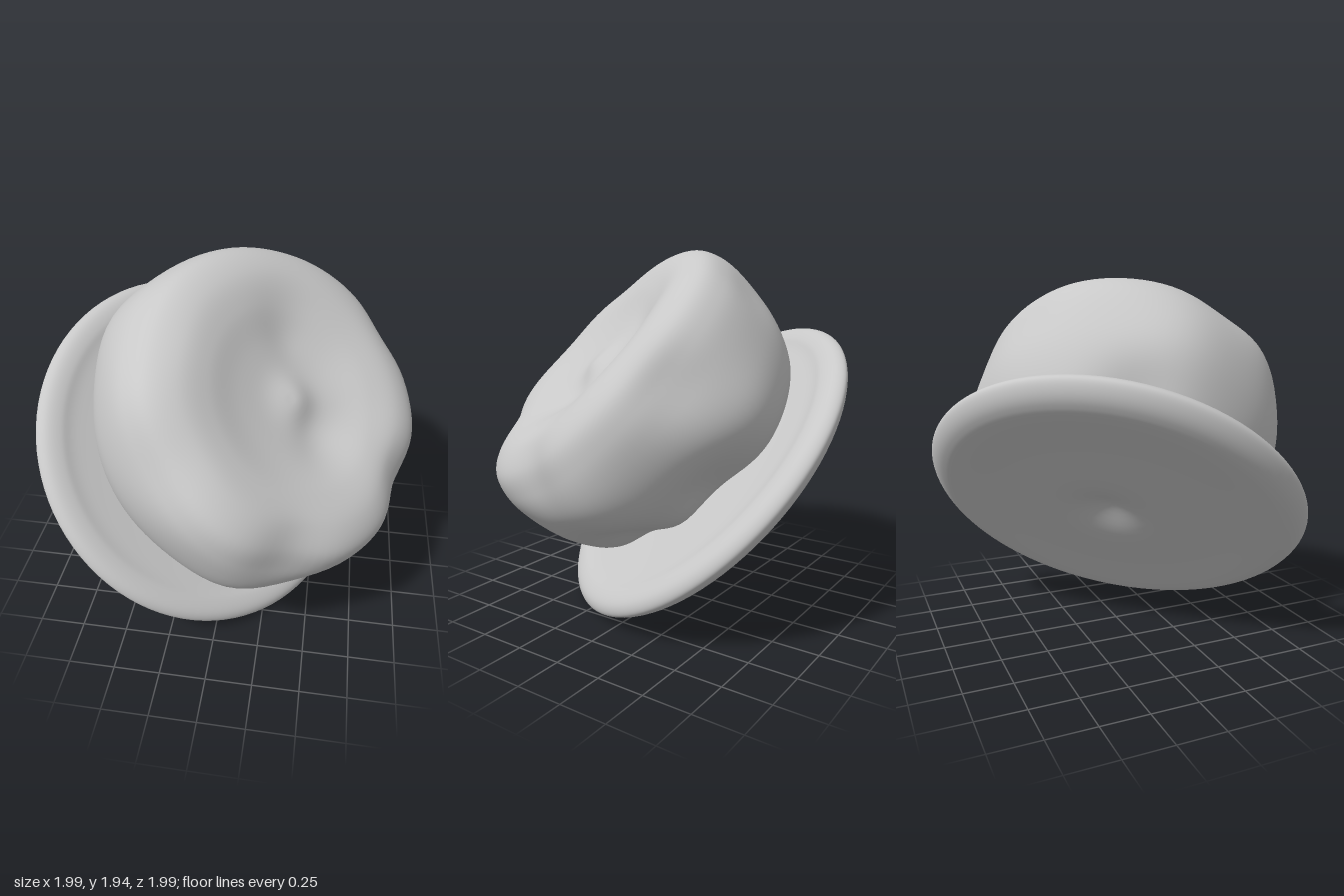
import * as THREE from 'three';
import { mergeVertices } from 'three/addons/utils/BufferGeometryUtils.js';

// Smooth lathe whose vertices are pushed by soft dents (positive) or bumps (negative).
// Each dent: [angle in degrees, radius, height, spread, depth], pushed toward `core`.
function softLathe(profile, samples, dents, core) {
  const curve = new THREE.SplineCurve(profile.map(([r, h]) => new THREE.Vector2(r, h)));
  const points = curve.getPoints(samples);
  points.forEach((p) => { p.x = Math.max(p.x, 0); });
  points[0].x = points[points.length - 1].x = 0;
  let geo = new THREE.LatheGeometry(points, 96);
  geo.deleteAttribute('uv');
  geo.deleteAttribute('normal');
  geo = mergeVertices(geo, 1e-5);

  const pos = geo.attributes.position;
  const p = new THREE.Vector3(), c = new THREE.Vector3();
  const push = new THREE.Vector3(), dir = new THREE.Vector3();
  for (let i = 0; i < pos.count; i++) {
    p.fromBufferAttribute(pos, i);
    push.set(0, 0, 0);
    for (const [deg, r, h, spread, depth] of dents) {
      const a = THREE.MathUtils.degToRad(deg);
      c.set(r * Math.cos(a), h, -r * Math.sin(a));
      const w = depth * Math.exp(-p.distanceToSquared(c) / (spread * spread));
      push.addScaledVector(dir.copy(core).sub(c).normalize(), w);
    }
    p.add(push);
    pos.setXYZ(i, p.x, p.y, p.z);
  }
  geo.computeVertexNormals();
  return geo;
}

export function createModel() {
  const grey = new THREE.MeshStandardMaterial({ color: 0xc8c8c8 });
  grey.name = 'plain grey';

  const model = new THREE.Group();
  model.name = 'tiltedLumpyHat';

  // Thin round brim with a swollen rim and a small hollow underneath
  const brimProfile = [
    [0, -0.05], [0.3, -0.05], [0.6, -0.055], [0.84, -0.07], [0.93, -0.06], [0.99, -0.025],
    [1.02, 0.025], [0.985, 0.07], [0.91, 0.085], [0.8, 0.07], [0.5, 0.06], [0, 0.06],
  ];
  const brim = new THREE.Mesh(
    softLathe(brimProfile, 90, [[0, 0.04, -0.05, 0.16, 0.06]], new THREE.Vector3(0, 0.5, 0)), grey);
  brim.name = 'brim';
  model.add(brim);

  // Fat drum-shaped crown, pinched in at the base, with a dished and dented top
  const crownProfile = [
    [0, 0.03], [0.4, 0.03], [0.64, 0.06], [0.735, 0.12], [0.8, 0.24], [0.845, 0.4],
    [0.865, 0.6], [0.85, 0.74], [0.79, 0.85], [0.66, 0.905], [0.5, 0.9], [0.3, 0.855], [0, 0.81],
  ];
  const dents = [
    // shoulder dents
    [-108, 0.76, 0.82, 0.2, 0.07],
    [-42, 0.76, 0.82, 0.2, 0.07],
    [20, 0.83, 0.72, 0.18, 0.05],
    [75, 0.9, 0.6, 0.18, 0.02],
    [195, 0.8, 0.82, 0.25, 0.05],
    [150, 0.76, 0.85, 0.22, 0.03],
    // swollen places on the wall
    [135, 0.86, 0.42, 0.28, -0.05],
    [31, 0.86, 0.3, 0.25, -0.05],
    [-25, 0.87, 0.52, 0.25, -0.06],
    [-115, 0.87, 0.45, 0.28, -0.05],
    // undercuts near the base
    [123, 0.76, 0.1, 0.18, 0.05],
    [-38, 0.77, 0.13, 0.24, 0.1],
    [3, 0.77, 0.11, 0.22, 0.09],
    // hollows and the small knob on the top
    [36, 0.3, 0.85, 0.24, 0.04],
    [75, 0.42, 0.88, 0.17, 0.05],
    [-60, 0.28, 0.85, 0.17, 0.05],
    [-20, 0.45, 0.87, 0.18, 0.03],
    [0, 0.03, 0.82, 0.12, -0.05],
  ];
  const crown = new THREE.Mesh(
    softLathe(crownProfile, 110, dents, new THREE.Vector3(0, 0.45, 0)), grey);
  crown.name = 'crown';
  crown.position.set(0.015, 0.035, -0.03);
  model.add(crown);

  // Lean the whole piece so its axis points up, forward and to its left
  const axis = new THREE.Vector3(0.57, 0.685, 0.453).normalize();
  const side = new THREE.Vector3(0.866, 0, -0.5);
  side.addScaledVector(axis, -side.dot(axis)).normalize();
  const third = new THREE.Vector3().crossVectors(side, axis);
  model.quaternion.setFromRotationMatrix(new THREE.Matrix4().makeBasis(side, axis, third));
  model.position.set(-0.168, 0.735, -0.083);
  return model;
}
